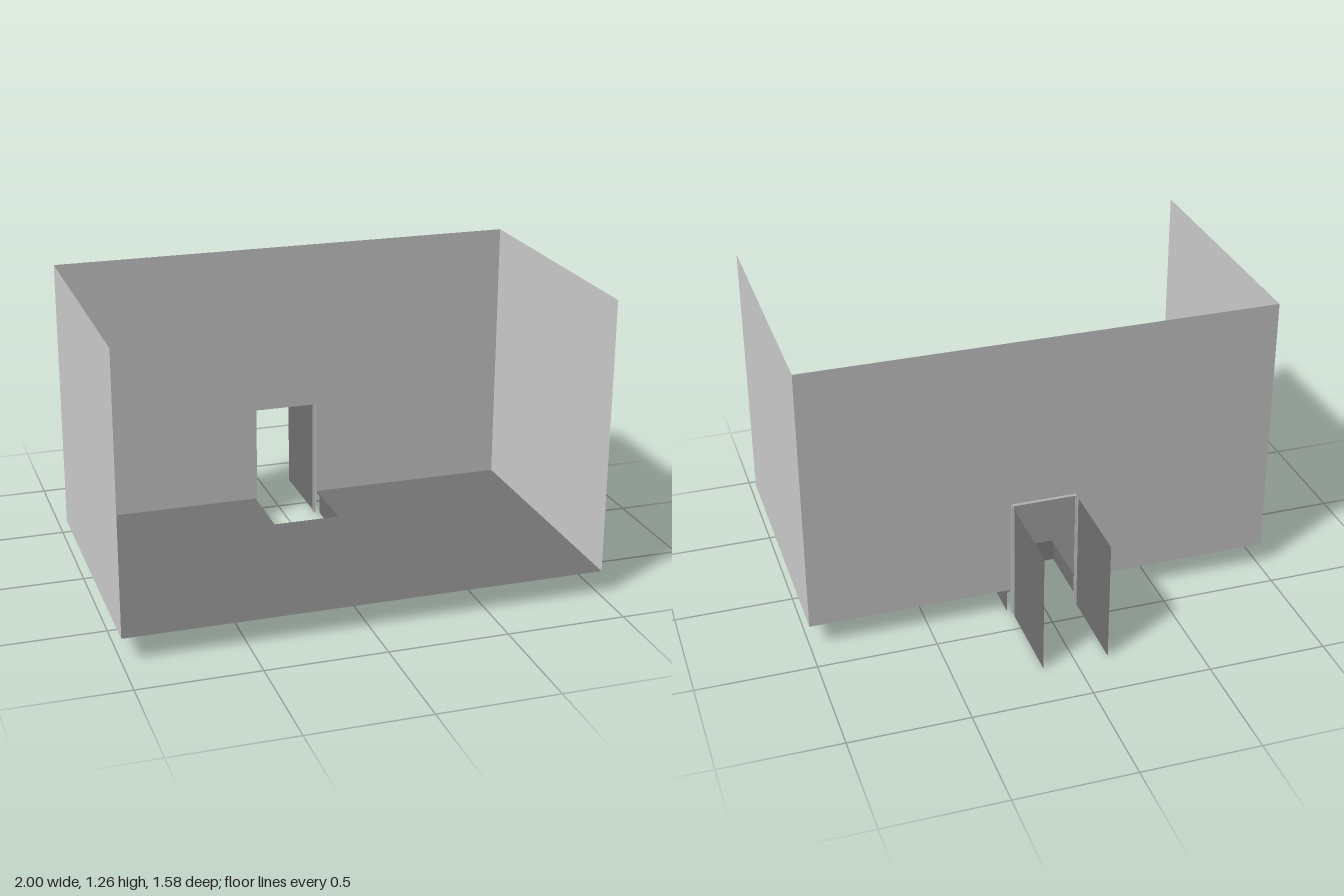
import * as THREE from 'three';

const grey = (color) => new THREE.MeshStandardMaterial({ color, flatShading: true, side: THREE.DoubleSide });
const LIGHT = grey(0xcccccc), MID = grey(0xaeaeae), DARK = grey(0x707070);

const W = 1, FLOOR = 0.108, TOP = 1.264, BACK = -0.37, FRONT = 0.79;
const HOLE = 0.145, HOLE_FRONT = -0.066, DOOR = 0.14, DOOR_TOP = 0.528;

function add(group, name, geometry, material) {
  const mesh = new THREE.Mesh(geometry, material);
  mesh.name = name;
  group.add(mesh);
}

// Flat sheet outlined by 2D points
function sheet(points) {
  return new THREE.ShapeGeometry(new THREE.Shape(points.map(([x, y]) => new THREE.Vector2(x, y))));
}

// Open surface joining consecutive rows of 3D points
function strip(rows) {
  const n = rows[0].length, index = [];
  for (let r = 0; r < rows.length - 1; r++) {
    for (let i = 0; i < n - 1; i++) {
      const a = r * n + i, b = a + n;
      index.push(a, b, a + 1, a + 1, b, b + 1);
    }
  }
  const g = new THREE.BufferGeometry();
  g.setAttribute('position', new THREE.Float32BufferAttribute(rows.flat(2), 3));
  g.setIndex(index);
  g.computeVertexNormals();
  return g;
}

export function createModel() {
  const model = new THREE.Group();
  model.name = 'roomWithDoorway';

  // Floor with a notch in front of the doorway (shape y becomes -z)
  const floor = sheet([
    [-W, -FRONT], [W, -FRONT], [W, -BACK], [HOLE, -BACK],
    [HOLE, -HOLE_FRONT], [-HOLE, -HOLE_FRONT], [-HOLE, -BACK], [-W, -BACK],
  ]);
  floor.rotateX(-Math.PI / 2);
  floor.translate(0, FLOOR, 0);
  add(model, 'floor', floor, DARK);

  // Back wall with the doorway cut out
  const backWall = sheet([
    [-W, FLOOR], [-DOOR, FLOOR], [-DOOR, DOOR_TOP], [DOOR, DOOR_TOP],
    [DOOR, FLOOR], [W, FLOOR], [W, TOP], [-W, TOP],
  ]);
  backWall.translate(0, 0, BACK);
  add(model, 'backWall', backWall, MID);

  // Side walls
  for (const s of [-1, 1]) {
    const wall = new THREE.PlaneGeometry(FRONT - BACK, TOP - FLOOR);
    wall.rotateY(s * Math.PI / 2);
    wall.translate(s * W, (TOP + FLOOR) / 2, (FRONT + BACK) / 2);
    add(model, s > 0 ? 'leftWall' : 'rightWall', wall, LIGHT);
  }

  // Bottomless well under the notch: short lip, outward ledge, skirt
  const well = [[HOLE, HOLE_FRONT, FLOOR], [HOLE, HOLE_FRONT, 0.098], [0.157, -0.052, 0.098], [0.157, -0.052, 0]];
  add(model, 'floorWell', strip(well.map(([x, z, y]) => [
    [-x, y, BACK], [-x, y, z], [x, y, z], [x, y, BACK],
  ])), DARK);

  // Stepped jambs and the long panels running back from them
  const jamb = [[DOOR, BACK], [DOOR, -0.387], [0.132, -0.387], [0.132, -0.395], [0.138, -0.395], [0.138, -0.408]];
  const panel = [[0.138, -0.408], [0.138, -FRONT]];
  for (const s of [-1, 1]) {
    const side = s > 0 ? 'left' : 'right';
    const upright = (path) => strip([0, DOOR_TOP].map((y) => path.map(([x, z]) => [s * x, y, z])));
    add(model, side + 'Jamb', upright(jamb), MID);
    add(model, side + 'Panel', upright(panel), DARK);
  }

  // Narrow head over the doorway
  const head = new THREE.PlaneGeometry(2 * DOOR, 0.016);
  head.rotateX(-Math.PI / 2);
  head.translate(0, DOOR_TOP, BACK - 0.008);
  add(model, 'doorHead', head, MID);

  return model;
}
